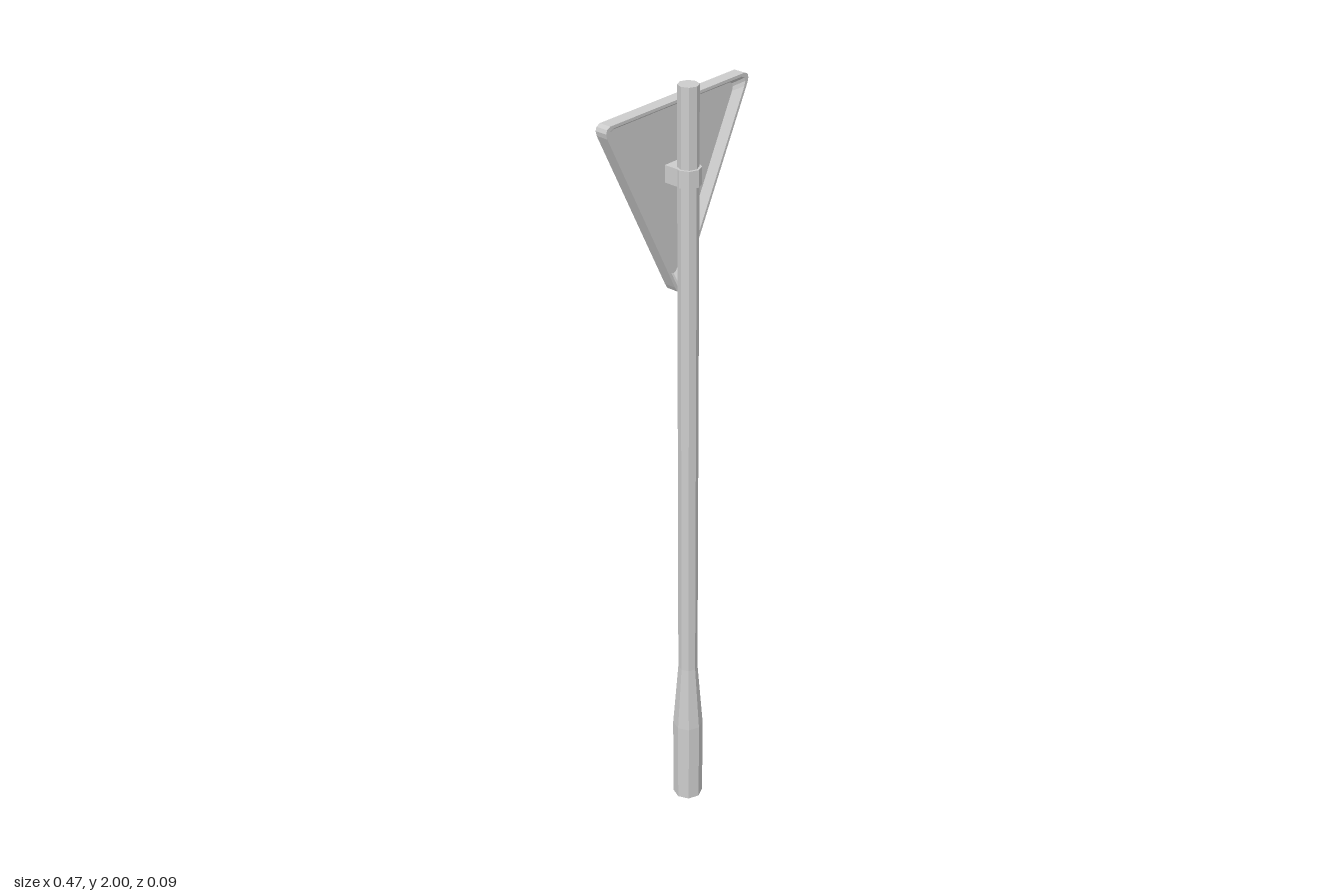
import * as THREE from 'three';

const SIDES = 8;
const POLE_Z = 0.007;

export function createModel() {
  const group = new THREE.Group();
  const mat = new THREE.MeshStandardMaterial({ color: 0xcccccc, flatShading: true });
  const add = (name, geometry, x, y, z) => {
    const mesh = new THREE.Mesh(geometry, mat);
    mesh.name = name;
    mesh.position.set(x, y, z);
    group.add(mesh);
  };
  const lathe = (points) =>
    new THREE.LatheGeometry(points.map(([r, y]) => new THREE.Vector2(r, y)), SIDES);

  // Octagonal pole with a wider sleeve at the foot, open underneath
  add('pole', lathe([[0.039, 0], [0.039, 0.235], [0.025, 0.42], [0.025, 2], [0, 2]]), 0, 0, POLE_Z);

  // Clamp around the pole and its bracket to the sign
  add('clampBand', lathe([[0.024, -0.021], [0.031, -0.021], [0.031, 0.021], [0.024, 0.021]]), 0, 1.787, POLE_Z);
  add('clampBracket', new THREE.BoxGeometry(0.056, 0.042, 0.045), 0, 1.787, -0.0175);

  // Triangular sign pan, point down, recessed on the pole side
  add('signPanel', panGeometry(), 0, 1.808, 0);
  return group;
}

// Lofts a blunt-cornered triangle: back face, outer wall, rim, sloped inner wall, floor
function panGeometry() {
  const half = [[0, -0.318], [0.01, -0.313], [0.018, -0.3], [0.232, 0.126], [0.235, 0.138], [0.232, 0.147], [0.222, 0.152]];
  const mirrored = half.slice(1).reverse().map(([x, y]) => [-x, y]);
  const outline = [...half, ...mirrored];
  const n = outline.length;
  const inradius = 0.152;
  const loops = [[0, -0.049], [0, -0.018], [0.007, -0.018], [0.02, -0.038]]; // inset, z

  const positions = [];
  for (const [inset, z] of loops) {
    const s = 1 - inset / inradius;
    for (const [x, y] of outline) positions.push(x * s, y * s, z);
  }
  const index = [];
  for (let l = 0; l < loops.length - 1; l++) {
    for (let i = 0; i < n; i++) {
      const a = l * n + i, b = l * n + (i + 1) % n;
      index.push(a, b, b + n, a, b + n, a + n);
    }
  }
  const floor = (loops.length - 1) * n;
  for (let i = 1; i < n - 1; i++) {
    index.push(0, i + 1, i); // outer face
    index.push(floor, floor + i, floor + i + 1); // recess floor
  }
  const geometry = new THREE.BufferGeometry();
  geometry.setAttribute('position', new THREE.Float32BufferAttribute(positions, 3));
  geometry.setIndex(index);
  const flat = geometry.toNonIndexed();
  flat.computeVertexNormals();
  return flat;
}
